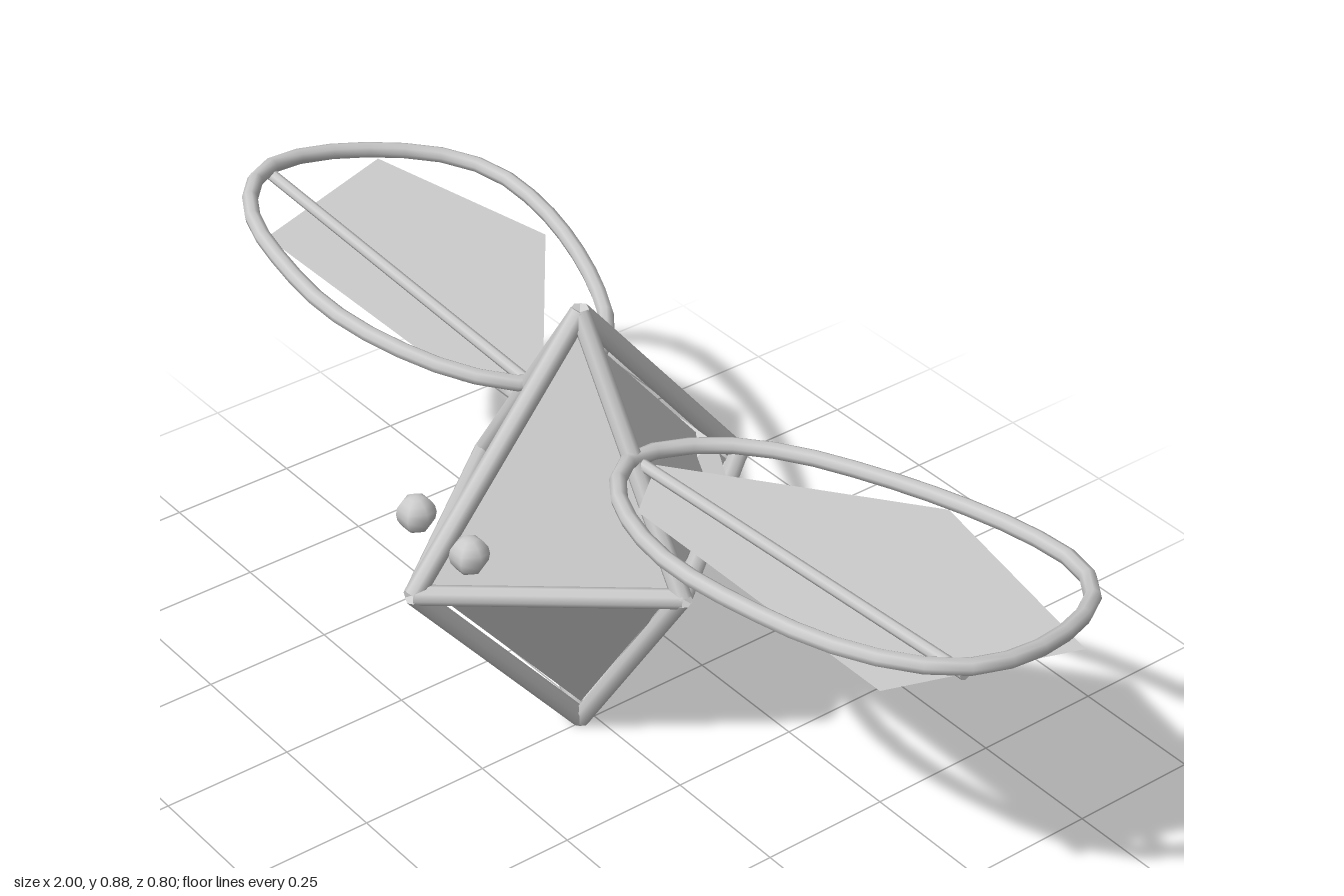
import * as THREE from 'three';

export function createModel() {
  const model = new THREE.Group();
  const grey = new THREE.MeshStandardMaterial({ color: 0xcccccc });
  grey.name = 'paleGrey';
  grey.side = THREE.DoubleSide;
  const V = (x, y, z) => new THREE.Vector3(x, y, z);

  const add = (name, geometry, parent = model) => {
    const mesh = new THREE.Mesh(geometry, grey);
    mesh.name = name;
    parent.add(mesh);
    return mesh;
  };

  // Straight round bar between two points
  const bar = (name, a, b, radius, parent) => {
    const dir = b.clone().sub(a);
    const mesh = add(name, new THREE.CylinderGeometry(radius, radius, dir.length(), 8), parent);
    mesh.position.copy(a).add(b).multiplyScalar(0.5);
    mesh.quaternion.setFromUnitVectors(V(0, 1, 0), dir.normalize());
  };

  // Diamond body, slightly inset within its frame
  const centre = V(0, 0.44, 0.03);
  const half = V(0.285, 0.43, 0.355);
  const body = add('body', new THREE.OctahedronGeometry(1, 0));
  body.position.copy(centre);
  body.scale.copy(half).multiplyScalar(0.915);

  // Twelve frame bars along the diamond's edges
  const frame = new THREE.Group();
  frame.name = 'bodyFrame';
  model.add(frame);
  const top = V(0, centre.y + half.y, centre.z);
  const bottom = V(0, centre.y - half.y, centre.z);
  const ring = [[1, 0], [0, 1], [-1, 0], [0, -1]].map(
    ([x, z]) => V(x * half.x, centre.y, centre.z + z * half.z));
  ring.forEach((p, i) => {
    bar('equatorBar', p, ring[(i + 1) % 4], 0.018, frame);
    bar('upperBar', p, top, 0.018, frame);
    bar('lowerBar', p, bottom, 0.018, frame);
  });

  // Wing outline in x and z, lying on a gently tilted plane
  const outline = [
    [0.14, -0.02], [0.17, -0.13], [0.25, -0.22], [0.37, -0.29], [0.55, -0.357],
    [0.70, -0.385], [0.81, -0.378], [0.89, -0.33], [0.95, -0.235], [0.985, -0.1],
    [0.975, 0.01], [0.92, 0.09], [0.81, 0.16], [0.65, 0.2], [0.49, 0.213],
    [0.35, 0.185], [0.22, 0.12], [0.15, 0.04],
  ];
  const membrane = [[0.16, -0.01], [0.56, -0.315], [0.98, -0.23], [0.865, 0.1], [0.25, 0.1]];

  for (const s of [1, -1]) {
    const wing = new THREE.Group();
    wing.name = s > 0 ? 'leftWing' : 'rightWing';
    model.add(wing);

    const loop = new THREE.CatmullRomCurve3(
      outline.map(([x, z]) => V(s * x, 0.6375 + 0.065 * x + 0.163 * z, z)), true);
    add('wingHoop', new THREE.TubeGeometry(loop, 32, 0.015, 8, true), wing);
    bar('wingRib', V(s * 0.14, 0.642, 0.02), V(s * 0.97, 0.69, 0.02), 0.011, wing);

    // Flat membrane
    const shape = new THREE.Shape(membrane.map(([x, z]) => new THREE.Vector2(s * x, -z)));
    const sheet = add('wingMembrane', new THREE.ShapeGeometry(shape), wing);
    sheet.rotation.x = -Math.PI / 2;
    sheet.position.y = 0.63;

    // Eye
    const eye = add(s > 0 ? 'leftEye' : 'rightEye', new THREE.SphereGeometry(0.035, 6, 8));
    eye.position.set(s * 0.077, 0.54, 0.322);
  }

  // Six-sided tail cone, its base facing back
  const tailGeometry = new THREE.ConeGeometry(0.1, 0.1, 6).toNonIndexed();
  tailGeometry.computeVertexNormals();
  tailGeometry.rotateY(Math.PI / 2);
  tailGeometry.rotateX(Math.PI / 2);
  add('tail', tailGeometry).position.set(0, 0.44, -0.18);

  return model;
}
